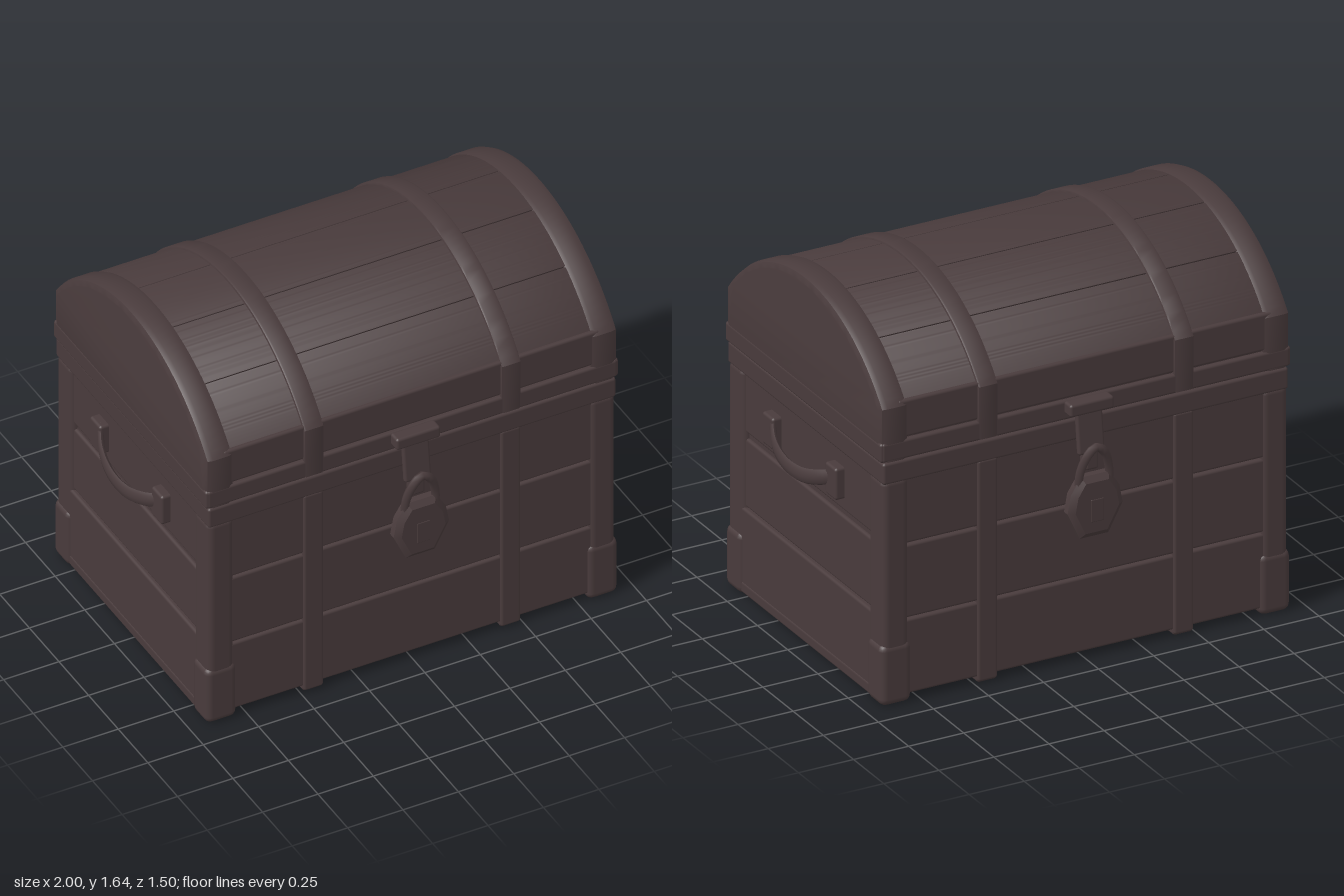
import * as THREE from 'three';
import { toCreasedNormals } from 'three/addons/utils/BufferGeometryUtils.js';
import { RoundedBoxGeometry } from 'three/addons/geometries/RoundedBoxGeometry.js';

const darkWood = new THREE.MeshStandardMaterial({ color: 0x493b3c });
darkWood.name = 'dark wood';

const HALF_W = 0.93, HALF_D = 0.65;   // outer half width and depth
const ARC_Y = 0.824, ARC_R = 0.816;   // circle of the lid's arch

function add(parent, name, geometry, x = 0, y = 0, z = 0) {
  const mesh = new THREE.Mesh(geometry, darkWood);
  mesh.name = name;
  mesh.position.set(x, y, z);
  parent.add(mesh);
  return mesh;
}

// Rounded box given by its limits
function block(parent, name, x0, x1, y0, y1, z0, z1, r = 0.012) {
  const w = x1 - x0, h = y1 - y0, d = z1 - z0;
  const radius = Math.min(r, w * 0.45, h * 0.45, d * 0.45);
  return add(parent, name, new RoundedBoxGeometry(w, h, d, 2, radius),
    (x0 + x1) / 2, (y0 + y1) / 2, (z0 + z1) / 2);
}

// Shape in (z, y) extruded along x between two limits, with a bevelled rim
function extrudeX(shape, x0, x1, bevel) {
  const geometry = new THREE.ExtrudeGeometry(shape, {
    depth: x1 - x0 - 2 * bevel, bevelEnabled: true, bevelSize: bevel,
    bevelThickness: bevel, bevelOffset: -bevel, bevelSegments: 2, curveSegments: 20,
  });
  geometry.translate(0, 0, x0 + bevel);
  geometry.rotateY(Math.PI / 2);
  return toCreasedNormals(geometry, 0.6);
}

// Arched lid outline, pulled in by an inset
function lidOutline(inset, bottom) {
  const r = ARC_R - inset, w = HALF_D - inset;
  const a = Math.acos(w / r);
  const shape = new THREE.Shape();
  shape.moveTo(-w, bottom);
  shape.lineTo(w, bottom);
  shape.absarc(0, ARC_Y, r, a, Math.PI - a, false);
  shape.closePath();
  return shape;
}

// One curved lid plank between two angles
function plankOutline(a0, a1) {
  const shape = new THREE.Shape();
  shape.absarc(0, ARC_Y, ARC_R - 0.01, a0, a1, false);
  shape.absarc(0, ARC_Y, ARC_R - 0.06, a1, a0, true);
  shape.closePath();
  return shape;
}

function buildBody() {
  const body = new THREE.Group();
  body.name = 'body';
  block(body, 'bodyCore', -0.89, 0.89, 0.03, 1.07, -0.612, 0.612);

  // Horizontal planks on all four sides
  const rows = [[0.03, 0.36], [0.366, 0.69], [0.696, 0.99]];
  for (const [y0, y1] of rows) {
    for (const s of [-1, 1]) {
      const z = s * 0.616;
      block(body, 'facePlank', -0.86, 0.86, y0, y1, z - 0.02, z + 0.02);
      block(body, 'endPlank', s * 0.888 - 0.016, s * 0.888 + 0.016, y0 + 0.02, y1, -0.58, 0.58);
    }
  }

  for (const s of [-1, 1]) {
    // Rim, bottom rails and vertical straps
    block(body, 'rimFace', -0.92, 0.92, 0.98, 1.075, s * 0.62 - 0.026, s * 0.62 + 0.026);
    block(body, 'rimEnd', s * 0.895 - 0.025, s * 0.895 + 0.025, 0.98, 1.075, -0.64, 0.64);
    block(body, 'endRail', s * 0.895 - 0.022, s * 0.895 + 0.022, 0.02, 0.385, -0.6, 0.6);
    for (const x of [-0.445, 0.445]) {
      block(body, 'strap', x - 0.045, x + 0.045, 0.01, 0.99, s * 0.62 - 0.026, s * 0.62 + 0.026);
    }
    block(body, 'bottomStrap', s * 0.445 - 0.045, s * 0.445 + 0.045, 0.005, 0.05, -0.64, 0.64);
    block(body, 'bottomEndBand', s * 0.86 - 0.06, s * 0.86 + 0.06, 0.008, 0.06, -0.64, 0.64);

    // Corner posts and the flared feet around them
    for (const t of [-1, 1]) {
      block(body, 'cornerPost', s * 0.86 - 0.06, s * 0.86 + 0.06, 0.02, 1.0, t * 0.58 - 0.065, t * 0.58 + 0.065, 0.03);
      block(body, 'cornerFoot', s * 0.86 - 0.07, s * 0.86 + 0.07, 0, 0.27, t * 0.585 - 0.065, t * 0.585 + 0.065, 0.03);
    }
  }
  return body;
}

function buildLid() {
  const lid = new THREE.Group();
  lid.name = 'lid';
  add(lid, 'lidCore', extrudeX(lidOutline(0.022, 1.085), -0.91, 0.91, 0.01));

  // Curved planks
  const a0 = Math.acos(HALF_D / ARC_R) + 0.02, count = 5;
  const step = (Math.PI - 2 * a0) / count;
  for (let i = 0; i < count; i++) {
    add(lid, 'lidPlank', extrudeX(plankOutline(a0 + i * step + 0.003, a0 + (i + 1) * step - 0.003), -0.85, 0.85, 0.004));
  }

  for (const s of [-1, 1]) {
    // Arched end bands and straps
    const end = s * 0.865;
    add(lid, 'lidEndBand', extrudeX(lidOutline(0.003, 1.08), end - 0.065, end + 0.065, 0.03));
    add(lid, 'lidStrap', extrudeX(lidOutline(0, 1.085), s * 0.445 - 0.045, s * 0.445 + 0.045, 0.01));
    // Lower rim and wall plank
    block(lid, 'lidRimFace', -0.925, 0.925, 1.08, 1.165, s * 0.62 - 0.028, s * 0.62 + 0.028);
    block(lid, 'lidRimEnd', s * 0.9 - 0.032, s * 0.9 + 0.032, 1.08, 1.165, -0.645, 0.645);
    block(lid, 'lidWallPlank', -0.85, 0.85, 1.17, 1.335, s * 0.615 - 0.025, s * 0.615 + 0.025);
  }
  return lid;
}

// Hasp with a hanging padlock, facing +z
function buildLock() {
  const lock = new THREE.Group();
  lock.name = 'lock';
  block(lock, 'haspPlate', -0.1, 0.1, 1.11, 1.165, 0.64, 0.7);
  const hasp = block(lock, 'haspStrap', -0.06, 0.06, 0.93, 1.14, 0.66, 0.685);
  hasp.rotation.x = -0.12;
  block(lock, 'staple', -0.03, 0.03, 0.86, 0.95, 0.64, 0.7);

  const bow = new THREE.CatmullRomCurve3([
    [-0.07, 0.76, 0.705], [-0.065, 0.87, 0.715], [-0.035, 0.95, 0.73], [0, 0.975, 0.73],
    [0.035, 0.95, 0.73], [0.065, 0.87, 0.715], [0.07, 0.76, 0.705],
  ].map(p => new THREE.Vector3(...p)));
  add(lock, 'shackle', new THREE.TubeGeometry(bow, 20, 0.019, 6));

  // Six-sided padlock body
  const outline = new THREE.Shape([
    [-0.07, 0.58], [0.06, 0.58], [0.125, 0.7], [0.11, 0.78], [0.065, 0.85], [-0.065, 0.85], [-0.11, 0.78], [-0.125, 0.7],
  ].map(p => new THREE.Vector2(...p)));
  const padlock = new THREE.ExtrudeGeometry(outline, {
    depth: 0.03, bevelEnabled: true, bevelSize: 0.025, bevelThickness: 0.02, bevelOffset: -0.025, bevelSegments: 1,
  });
  add(lock, 'padlock', toCreasedNormals(padlock, 0.4), 0, 0, 0.69);
  block(lock, 'keyPlate', -0.03, 0.03, 0.65, 0.75, 0.73, 0.742, 0.004);
  return lock;
}

// Bowed carrying handle on the +x end
function buildHandle() {
  const handle = new THREE.Group();
  handle.name = 'handle';
  for (const z of [-0.25, 0.27]) block(handle, 'handleMount', 0.885, 0.945, 0.77, 0.91, z - 0.045, z + 0.045);
  const path = new THREE.CatmullRomCurve3([
    [0.925, 0.84, -0.24], [0.955, 0.83, -0.18], [0.982, 0.82, -0.08], [0.986, 0.82, 0.05],
    [0.96, 0.83, 0.18], [0.925, 0.85, 0.26],
  ].map(p => new THREE.Vector3(...p)));
  const grip = new THREE.TubeGeometry(path, 24, 0.014, 8);
  // Flatten the grip into a strap that is tall and thin
  grip.translate(0, -0.83, 0).scale(1, 2.4, 1).translate(0, 0.83, 0);
  grip.computeVertexNormals();
  add(handle, 'handleGrip', grip);
  return handle;
}

export function createModel() {
  const chest = new THREE.Group();
  chest.name = 'chest';
  chest.add(buildBody(), buildLid());
  for (const turn of [0, Math.PI]) {
    const lock = buildLock();
    const handle = buildHandle();
    lock.rotation.y = turn;
    handle.rotation.y = turn;
    chest.add(lock, handle);
  }
  return chest;
}
